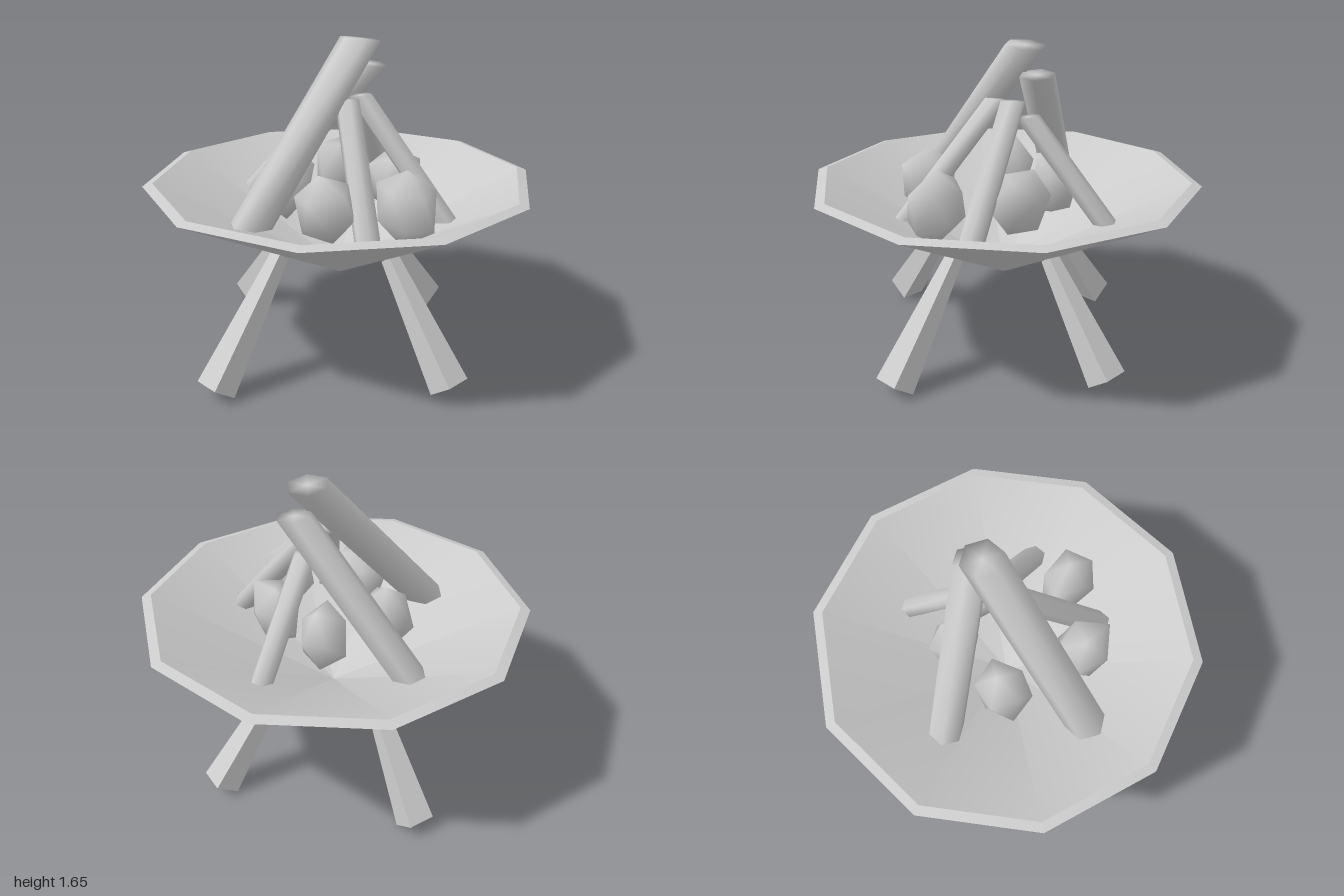
import * as THREE from 'three';
import { mergeVertices } from 'three/addons/utils/BufferGeometryUtils.js';

const smoothMat = new THREE.MeshStandardMaterial({ color: 0xcccccc });
const flatMat = new THREE.MeshStandardMaterial({ color: 0xcccccc, flatShading: true });

// weld shared corners, move each vertex by a rule, then smooth the normals
function reshape(geo, rule) {
  geo.deleteAttribute('uv');
  geo.deleteAttribute('normal');
  const g = mergeVertices(geo, 1e-4);
  const p = g.attributes.position;
  const v = new THREE.Vector3();
  for (let i = 0; i < p.count; i++) {
    rule(v.fromBufferAttribute(p, i), i);
    p.setXYZ(i, v.x, v.y, v.z);
  }
  g.computeVertexNormals();
  return g;
}

function add(group, name, geo, mat) {
  const mesh = new THREE.Mesh(geo, mat);
  mesh.name = name;
  group.add(mesh);
  return mesh;
}

// six-sided log, sheared so its ends stay almost level
function logGeometry(r, bottom, top) {
  const a = new THREE.Vector3(...bottom), b = new THREE.Vector3(...top);
  const lean = b.clone().sub(a).setY(0).normalize();
  const geo = new THREE.CylinderGeometry(r, r, 1, 6).rotateY(Math.PI / 2);
  return reshape(geo, (v) => {
    const axis = a.clone().lerp(b, v.y + 0.5);
    v.y = 0;
    v.y = -0.13 * v.dot(lean);
    v.add(axis);
  });
}

// irregular lump of fuel
function lumpGeometry(size, seed) {
  let s = seed * 7919 + 17;
  const rand = () => (s = (s * 16807) % 2147483647) / 2147483647;
  const geo = new THREE.IcosahedronGeometry(1, 0).rotateY(seed * 1.3).rotateX(seed * 0.4);
  return reshape(geo, (v) => v.multiplyScalar(0.94 + 0.2 * rand()).multiply(new THREE.Vector3(...size)));
}

export function createModel() {
  const model = new THREE.Group();
  model.name = 'firePit';

  // bowl: ten-sided cone with a thin bevelled rim
  const bowl = new THREE.Group();
  bowl.name = 'bowl';
  const profile = [['outerBowl', 0, 0.41, 1, 0.938], ['rim', 1, 0.938, 0.95, 0.953], ['innerBowl', 0.95, 0.953, 0, 0.45]];
  for (const [name, r0, y0, r1, y1] of profile) {
    const pts = [new THREE.Vector2(r0, y0), new THREE.Vector2(r1, y1)];
    add(bowl, name, new THREE.LatheGeometry(pts, 10, Math.PI / 2), smoothMat);
  }
  model.add(bowl);

  // legs: square, flaring towards the foot; the side pair sits a little off centre
  const legs = [
    ['frontLeg', [0, 0.04, 0.77], [0, 0.6, 0.36]],
    ['backLeg', [0, 0.04, -0.77], [0, 0.6, -0.36]],
    ['rightLeg', [-0.84, 0.045, 0], [-0.415, 0.63, 0]],
    ['leftLeg', [0.71, 0.045, 0], [0.32, 0.585, 0]],
  ];
  for (const [name, foot, head] of legs) {
    const a = new THREE.Vector3(...foot), b = new THREE.Vector3(...head);
    const dir = b.clone().sub(a);
    const geo = new THREE.CylinderGeometry(0.046, 0.099, dir.length(), 4).rotateY(Math.PI / 4);
    const leg = add(model, name, geo, flatMat);
    leg.position.copy(a).add(b).multiplyScalar(0.5);
    leg.quaternion.setFromUnitVectors(new THREE.Vector3(0, 1, 0), dir.normalize());
  }

  // logs leaning together
  const logs = new THREE.Group();
  logs.name = 'logs';
  [
    [0.105, [-0.57, 0.82, -0.02], [0.145, 1.64, 0]],
    [0.09, [-0.09, 0.79, -0.53], [0.22, 1.505, 0]],
    [0.064, [0.26, 0.77, 0.49], [0.1, 1.365, 0.04]],
    [0.064, [-0.25, 0.77, 0.445], [0, 1.36, 0.05]],
    [0.06, [0.52, 0.78, -0.18], [0.16, 1.29, 0]],
  ].forEach(([r, bottom, top], i) => add(logs, `log${i + 1}`, logGeometry(r, bottom, top), smoothMat));
  model.add(logs);

  // lumps ringed between the logs: size, position
  const lumps = new THREE.Group();
  lumps.name = 'fuelLumps';
  [
    [[0.15, 0.18, 0.14], [-0.18, 0.91, -0.21]],
    [[0.13, 0.18, 0.14], [0.18, 0.91, -0.19]],
    [[0.12, 0.18, 0.17], [0.26, 0.91, 0.15]],
    [[0.13, 0.18, 0.165], [-0.01, 0.9, 0.46]],
    [[0.145, 0.18, 0.17], [-0.32, 0.91, 0.23]],
  ].forEach(([size, pos], i) => {
    add(lumps, `lump${i + 1}`, lumpGeometry(size, i + 1), smoothMat).position.set(...pos);
  });
  model.add(lumps);

  return model;
}
